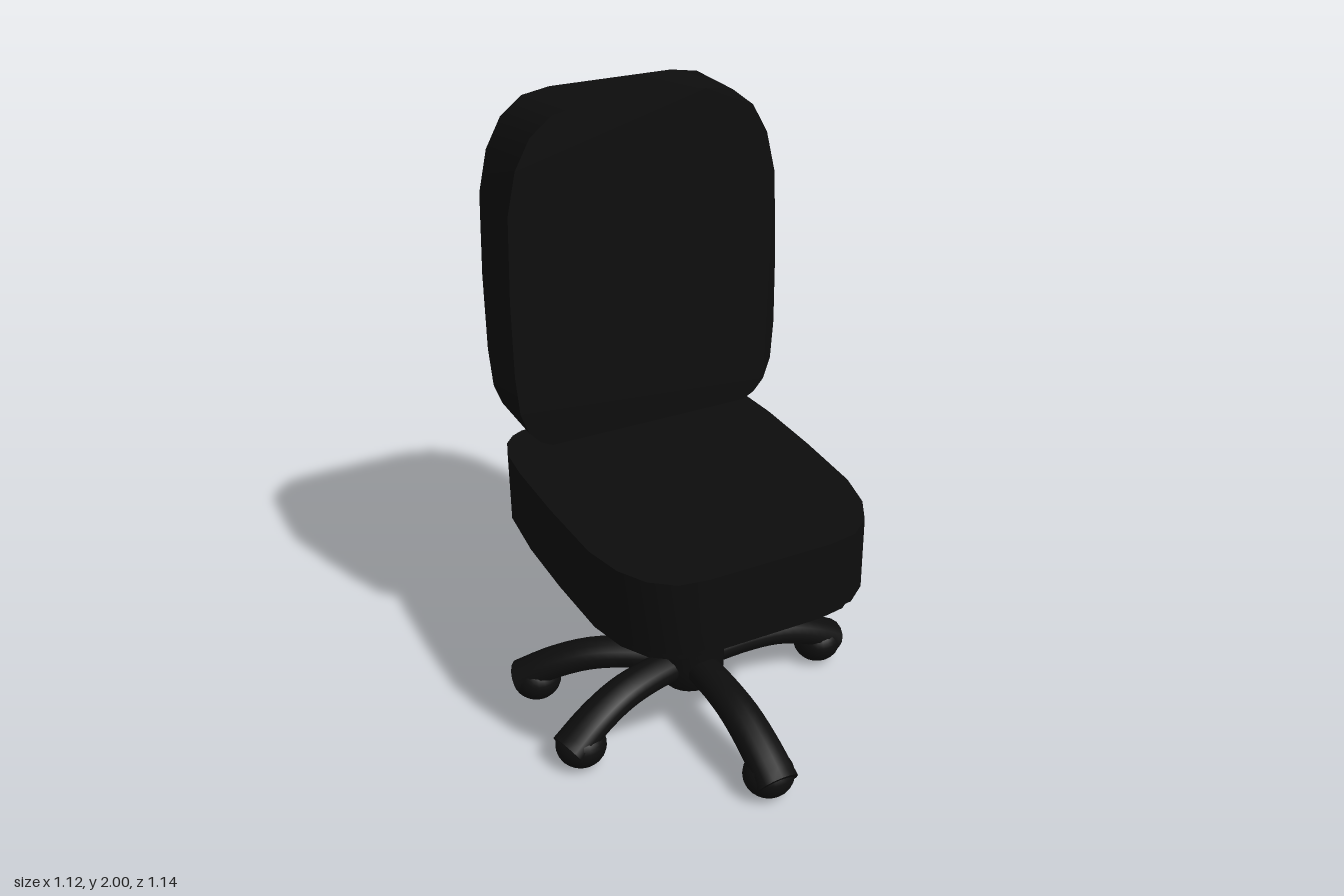
import * as THREE from 'three';
import { toCreasedNormals } from 'three/addons/utils/BufferGeometryUtils.js';

const black = new THREE.MeshStandardMaterial({ color: 0x0d0d0d });
const strapMat = new THREE.MeshStandardMaterial({ color: 0x1c1c1c });
const CX = -0.03, CZ = -0.03;

function add(parent, name, geometry, x = 0, y = 0, z = 0, material = black) {
  const mesh = new THREE.Mesh(geometry, material);
  mesh.name = name;
  mesh.position.set(x, y, z);
  parent.add(mesh);
  return mesh;
}

// Cushion outline: tight corners at one end, broad rounding at the other
const HALF = [[0.34, 0], [0.38, 0.02], [0.415, 0.06], [0.44, 0.13], [0.45, 0.26], [0.45, 0.51],
  [0.44, 0.77], [0.41, 0.9], [0.36, 0.99], [0.29, 1.045], [0.2, 1.06]];

function cushion(depth, inset = 0) {
  const su = 1 - inset / 0.9, sv = 1 - (2 * inset) / 1.06;
  const right = HALF.map(([u, v]) => new THREE.Vector2(u * su, inset + v * sv));
  const left = right.map(p => new THREE.Vector2(-p.x, p.y)).reverse();
  const geo = new THREE.ExtrudeGeometry(new THREE.Shape([...right, ...left]), { depth, bevelEnabled: false });
  return toCreasedNormals(geo, 0.7);
}

// Arched leg along +x: rounded on top, flat underneath, widening to the tip
function legGeometry() {
  const path = new THREE.CatmullRomCurve3([[0.02, 0.185], [0.2, 0.192], [0.32, 0.18], [0.44, 0.137], [0.55, 0.075]]
    .map(([x, y]) => new THREE.Vector3(x, y, 0)));
  const geo = new THREE.CylinderGeometry(1, 1, 1, 14, 14, false, Math.PI / 2);
  const pos = geo.attributes.position;
  for (let i = 0; i < pos.count; i++) {
    const t = THREE.MathUtils.clamp(pos.getY(i) + 0.5, 0, 1);
    const p = path.getPoint(t), d = path.getTangent(t);
    const h = Math.max(-pos.getX(i), -0.7) * 0.05;
    pos.setXYZ(i, p.x - d.y * h, p.y + d.x * h, pos.getZ(i) * (0.056 + 0.014 * t));
  }
  return toCreasedNormals(geo, 0.8);
}

export function createModel() {
  const chair = new THREE.Group();
  chair.name = 'officeChair';

  // Seat
  const seat = new THREE.Group();
  seat.name = 'seat';
  chair.add(seat);
  add(seat, 'seatCushion', cushion(0.24).rotateX(Math.PI / 2), CX, 0.86, -0.575);
  add(seat, 'seatPan', cushion(0.05, 0.03).rotateX(Math.PI / 2), CX, 0.63, -0.575);

  // Backrest with rear shell and support strap
  const back = new THREE.Group();
  back.name = 'backrest';
  chair.add(back);
  add(back, 'backCushion', cushion(0.232), CX, 0.94, -0.532);
  add(back, 'backShell', cushion(0.045, 0.03), CX, 0.94, -0.572);
  add(back, 'backSupport', new THREE.BoxGeometry(0.17, 0.2, 0.07), CX + 0.005, 0.92, -0.535, strapMat);

  // Column and rounded hub
  const profile = [[0, 0.08], [0.05, 0.085], [0.09, 0.105], [0.113, 0.15], [0.115, 0.2],
    [0.115, 0.51], [0.08, 0.575], [0.08, 0.6]].map(([r, y]) => new THREE.Vector2(r, y));
  add(chair, 'column', toCreasedNormals(new THREE.LatheGeometry(profile, 24), 0.5), CX, 0, CZ);

  // Five legs, each with its caster ball
  const leg = legGeometry();
  const ball = new THREE.SphereGeometry(0.082, 24, 16).scale(1, 0.88, 1);
  const casters = [[0.475, -0.04], [-0.02, 0.485], [-0.48, 0.09], [-0.475, -0.295], [0.25, -0.425]];
  const base = new THREE.Group();
  base.name = 'base';
  base.position.set(CX, 0, CZ);
  chair.add(base);
  for (const [x, z] of casters) {
    const dx = x - CX, dz = z - CZ, r = Math.hypot(dx, dz);
    const arm = new THREE.Group();
    arm.name = 'legWithCaster';
    arm.rotation.y = -Math.atan2(dz, dx);
    base.add(arm);
    add(arm, 'leg', leg).scale.x = r / 0.495;
    add(arm, 'caster', ball, r, 0.073, 0);
  }
  return chair;
}
